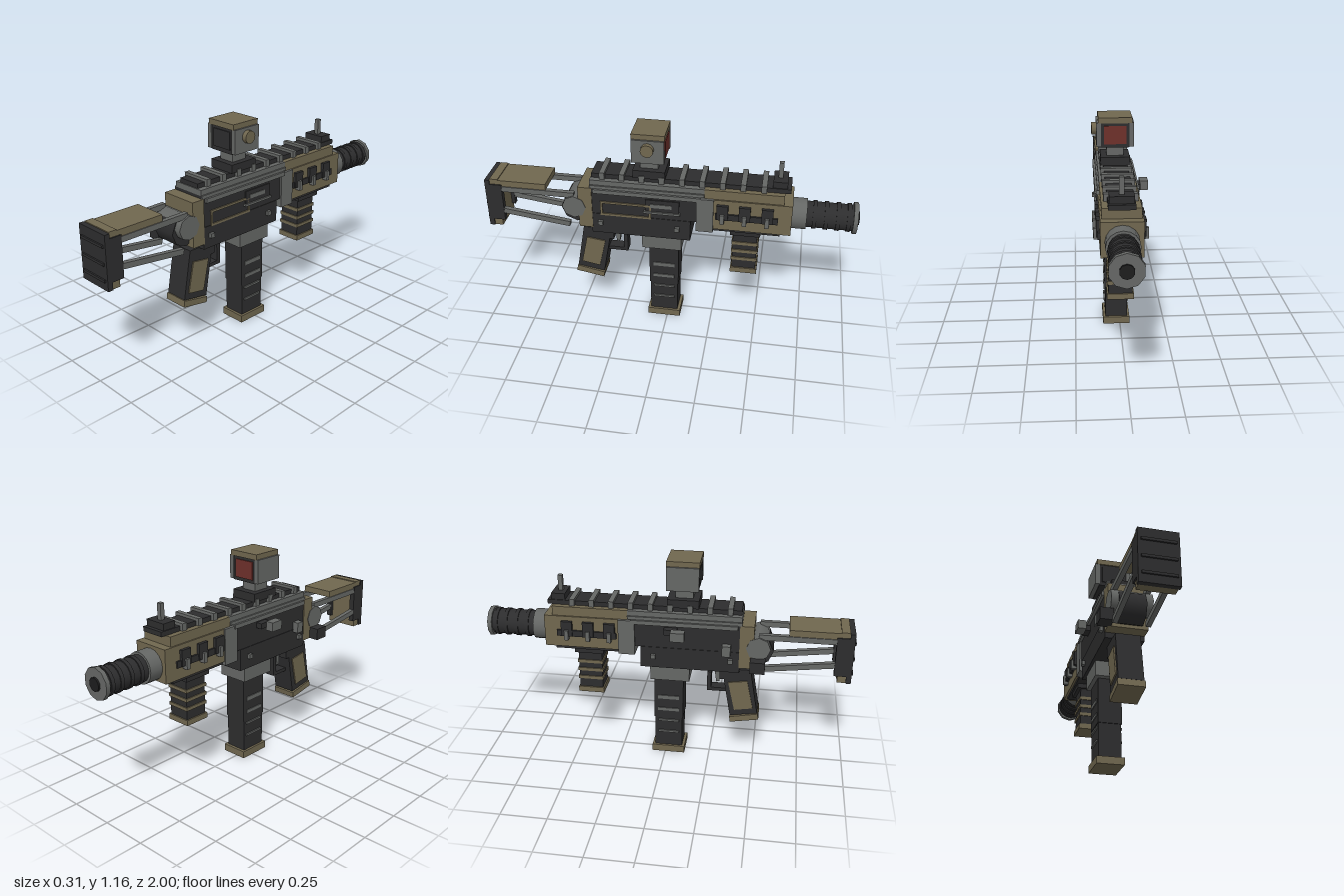
import * as THREE from 'three';

export function createModel() {
  const mat = (name, color) => {
    const m = new THREE.MeshStandardMaterial({ color });
    m.name = name;
    return m;
  };
  const dark = mat('charcoal', 0x2d2d2e), grey = mat('gunmetal', 0x656765);
  const tan = mat('tan', 0x70674f), red = mat('lens red', 0x6e302b), black = mat('bore black', 0x1d1d1e);

  const model = new THREE.Group();
  const body = new THREE.Group();
  body.name = 'body';
  body.position.x = 0.02;
  model.add(body);

  const add = (name, geo, m) => {
    const mesh = new THREE.Mesh(geo, m);
    mesh.name = name;
    body.add(mesh);
    return mesh;
  };
  // Box from x, y and z ranges
  const box = (name, m, x0, x1, y0, y1, z0, z1) => {
    const mesh = add(name, new THREE.BoxGeometry(x1 - x0, y1 - y0, z1 - z0), m);
    mesh.position.set((x0 + x1) / 2, (y0 + y1) / 2, (z0 + z1) / 2);
    return mesh;
  };
  // Box centred across the width
  const mid = (name, m, w, ...r) => box(name, m, -w, w, ...r);
  // Matching boxes on both sides
  const pair = (name, m, x0, x1, ...r) => [box(name, m, x0, x1, ...r), box(name, m, -x1, -x0, ...r)];
  // Cylinder along z
  const tubeZ = (name, m, r, z0, z1, sides = 16) => {
    const g = new THREE.CylinderGeometry(r, r, z1 - z0, sides).rotateX(Math.PI / 2);
    add(name, g, m).position.set(0, 0.73, (z0 + z1) / 2);
  };
  // Cylinder along x
  const tubeX = (name, m, r, x0, x1, y, z, sides = 12) => {
    const g = new THREE.CylinderGeometry(r, r, x1 - x0, sides).rotateZ(Math.PI / 2);
    add(name, g, m).position.set((x0 + x1) / 2, y, z);
  };
  // Side profile of [z, y] points, extruded across the width
  const profile = (name, m, w, pts) => {
    const s = new THREE.Shape(pts.map(([z, y]) => new THREE.Vector2(-z, y)));
    const g = new THREE.ExtrudeGeometry(s, { depth: 2 * w, bevelEnabled: false });
    add(name, g.translate(0, 0, -w).rotateY(Math.PI / 2), m);
  };

  // Stock
  mid('buttPad', dark, 0.1, 0.54, 0.825, 0.965, 0.992);
  for (const y of [0.59, 0.675, 0.765]) mid('buttPadRib', dark, 0.085, y - 0.007, y + 0.007, 0.99, 1);
  mid('buttPlate', tan, 0.093, 0.54, 0.83, 0.92, 0.965);
  pair('buttBracket', dark, 0.07, 0.1, 0.58, 0.8, 0.9, 0.965);
  mid('cheekRest', tan, 0.093, 0.79, 0.825, 0.655, 0.94);
  pair('upperStockRod', grey, 0.072, 0.098, 0.76, 0.79, 0.5, 0.92);
  for (const rod of pair('lowerStockRod', grey, 0.072, 0.098, 0.6, 0.63, 0.53, 0.91)) rod.rotation.x = -0.13;

  // Folding hinge
  tubeX('hinge', grey, 0.065, -0.108, 0.108, 0.71, 0.5, 8);
  tubeX('hingeCore', dark, 0.085, -0.07, 0.07, 0.685, 0.495, 8);
  box('hingeButton', dark, -0.16, -0.09, 0.59, 0.655, 0.46, 0.54);
  mid('rearBlock', tan, 0.105, 0.59, 0.835, 0.4, 0.475);

  // Receiver
  mid('upperReceiver', dark, 0.1, 0.68, 0.85, -0.16, 0.41);
  mid('lowerReceiver', dark, 0.103, 0.56, 0.68, -0.13, 0.405);
  pair('receiverStrip', grey, 0.1, 0.116, 0.812, 0.835, -0.18, 0.39);
  mid('railBed', grey, 0.095, 0.85, 0.88, -0.2, 0.41);
  mid('railBedStep', grey, 0.104, 0.835, 0.852, -0.2, 0.41);
  const frame = [[0.675, 0.687, 0.08, 0.355], [0.748, 0.76, 0.08, 0.355], [0.675, 0.76, 0.343, 0.355], [0.675, 0.76, 0.08, 0.092]];
  for (const r of frame) box('sidePanelFrame', tan, 0.1, 0.107, ...r);
  box('ejectionPort', dark, 0.1, 0.107, 0.71, 0.795, -0.07, 0.11);
  box('ejectionBolt', grey, 0.106, 0.111, 0.75, 0.772, -0.03, 0.083);
  box('ejectionLip', grey, 0.1, 0.116, 0.715, 0.727, -0.075, 0.12);
  for (const z of [0.355, -0.06]) pair('receiverPin', grey, 0.1, 0.12, 0.616, 0.64, z - 0.013, z + 0.013);
  box('selector', grey, -0.135, -0.1, 0.665, 0.725, 0.31, 0.355);
  box('chargingArm', dark, -0.135, -0.1, 0.77, 0.8, 0, 0.07);
  box('chargingHandle', grey, -0.18, -0.134, 0.755, 0.805, 0.04, 0.115);

  // Top rail
  mid('topRail', dark, 0.065, 0.88, 0.905, -0.64, 0.405);
  for (let i = 0; i < 9; i++) {
    const z = 0.345 - i * 0.106;
    mid('railTooth', grey, 0.083, 0.882, 0.92, z - 0.014, z + 0.014);
  }

  // Handguard
  mid('handguardCollar', grey, 0.11, 0.63, 0.828, -0.25, -0.16);
  mid('handguard', tan, 0.103, 0.65, 0.828, -0.655, -0.25);
  mid('handguardTop', tan, 0.095, 0.825, 0.88, -0.61, -0.2);
  mid('handguardUnderside', dark, 0.09, 0.632, 0.66, -0.6, -0.25);
  pair('sideRail', dark, 0.1, 0.113, 0.715, 0.75, -0.585, -0.26);
  for (const z of [-0.297, -0.413, -0.53]) {
    pair('sideVent', dark, 0.1, 0.12, 0.718, 0.803, z - 0.03, z + 0.03);
    pair('sideStud', grey, 0.1, 0.133, 0.7, 0.755, z - 0.011, z + 0.011);
  }

  // Foregrip
  mid('foregripMount', dark, 0.08, 0.605, 0.64, -0.5, -0.34);
  mid('foregrip', dark, 0.06, 0.37, 0.61, -0.485, -0.355);
  for (const y of [0.545, 0.495, 0.445]) mid('foregripRing', tan, 0.066, y - 0.009, y + 0.009, -0.491, -0.349);
  mid('foregripBase', tan, 0.068, 0.355, 0.385, -0.492, -0.348);

  // Barrel and muzzle
  tubeZ('barrelCollar', grey, 0.083, -0.73, -0.655);
  tubeZ('suppressor', dark, 0.07, -0.975, -0.72);
  for (const z of [-0.77, -0.83, -0.89, -0.945]) tubeZ('suppressorRing', dark, 0.076, z - 0.01, z + 0.01);
  tubeZ('muzzleFlange', grey, 0.083, -0.99, -0.967, 10);
  tubeZ('bore', black, 0.035, -1, -0.985, 10);

  // Front sight
  mid('sightBase', dark, 0.06, 0.905, 0.94, -0.62, -0.545);
  mid('sightPost', grey, 0.012, 0.94, 1.025, -0.592, -0.568);

  // Optic
  mid('opticBase', dark, 0.078, 0.905, 0.95, 0.01, 0.18);
  mid('opticNeck', grey, 0.045, 0.95, 1.01, 0.05, 0.145);
  mid('opticCore', dark, 0.076, 1.003, 1.136, 0.015, 0.175);
  pair('opticSide', grey, 0.075, 0.1, 1.008, 1.137, 0.01, 0.18);
  mid('opticTop', tan, 0.09, 1.135, 1.165, 0.008, 0.182);
  mid('eyepiece', dark, 0.06, 1.025, 1.12, 0.17, 0.18);
  mid('lens', red, 0.06, 1.022, 1.12, 0.009, 0.017);
  tubeX('opticKnob', tan, 0.034, 0.098, 0.125, 1.09, 0.095);

  // Magazine
  mid('magazineWell', grey, 0.087, 0.475, 0.565, -0.08, 0.135);
  mid('magazineUpper', dark, 0.064, 0.225, 0.48, -0.062, 0.1);
  mid('magazineLower', dark, 0.061, 0.03, 0.23, -0.057, 0.095);
  for (const [y, h] of [[0.355, 0.011], [0.278, 0.009], [0.205, 0.006], [0.132, 0.006]])
    mid('magazineRib', grey, 0.069, y - h, y + h, -0.04, 0.077);
  mid('magazineBase', tan, 0.074, 0, 0.04, -0.073, 0.11);

  // Pistol grip and trigger
  profile('pistolGrip', dark, 0.065, [[0.465, 0.56], [0.298, 0.56], [0.298, 0.495], [0.322, 0.495], [0.362, 0.27], [0.512, 0.295]]);
  profile('gripPanel', tan, 0.072, [[0.45, 0.495], [0.347, 0.48], [0.385, 0.31], [0.486, 0.328]]);
  profile('gripBase', tan, 0.07, [[0.515, 0.293], [0.36, 0.262], [0.365, 0.23], [0.521, 0.258]]);
  mid('triggerGuardBottom', dark, 0.03, 0.4, 0.42, 0.228, 0.345);
  mid('triggerGuardFront', dark, 0.03, 0.4, 0.515, 0.228, 0.25);
  profile('trigger', grey, 0.015, [[0.295, 0.515], [0.268, 0.515], [0.277, 0.45], [0.295, 0.455]]);

  return model;
}
